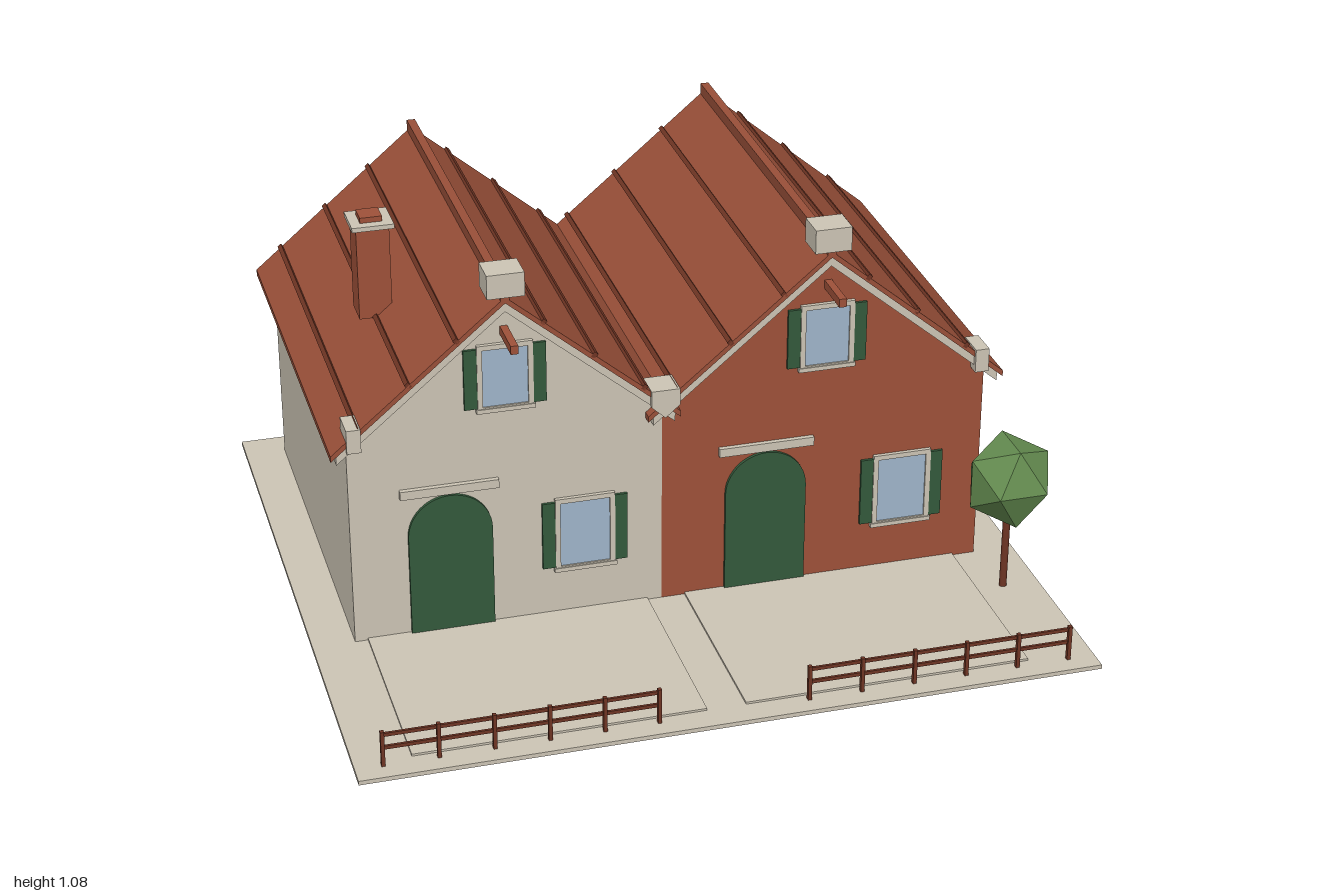
import * as THREE from 'three';

const mat = (name, color, side = THREE.FrontSide) => {
  const m = new THREE.MeshStandardMaterial({ color, side });
  m.name = name;
  return m;
};

export function createModel() {
  const model = new THREE.Group();
  model.name = 'semiDetachedHouses';

  const brick = mat('brick', 0x9f523a);
  const tile = mat('roofTile', 0x9a5039);
  const stone = mat('paleStone', 0xcec6b6);
  const wood = mat('darkWood', 0x6f3524);
  const green = mat('paintedGreen', 0x345a3c);
  const glass = mat('glass', 0xa0b6cb);
  const leaf = mat('leaf', 0x638a4f);
  leaf.flatShading = true;

  const FRONT = 0.277, BACK = -0.837, GROUND = 0.012;

  function add(name, geometry, material, parent = model) {
    const mesh = new THREE.Mesh(geometry, material);
    mesh.name = name;
    parent.add(mesh);
    return mesh;
  }
  // Box given by its limits on each axis
  function box(name, x0, x1, y0, y1, z0, z1, material, parent) {
    const g = new THREE.BoxGeometry(x1 - x0, y1 - y0, z1 - z0);
    g.translate((x0 + x1) / 2, (y0 + y1) / 2, (z0 + z1) / 2);
    return add(name, g, material, parent);
  }
  // Outline in x, y extruded from z0 to z1
  function prism(name, shape, z0, z1, material, parent) {
    const s = Array.isArray(shape) ? new THREE.Shape(shape.map(p => new THREE.Vector2(...p))) : shape;
    const g = new THREE.ExtrudeGeometry(s, { depth: z1 - z0, bevelEnabled: false, curveSegments: 12 });
    g.translate(0, 0, z0);
    return add(name, g, material, parent);
  }
  // Inverted V band following the two roof slopes
  function chevron(cx, half, top, slope, thick) {
    const eave = top - half * slope;
    return [[cx - half, eave - thick], [cx, top - thick], [cx + half, eave - thick],
      [cx + half, eave], [cx, top], [cx - half, eave]];
  }

  // Plot and paved front yards
  box('groundSlab', -1, 0.99, 0, GROUND, -0.92, 0.92, stone);
  box('leftYard', -0.85, -0.075, GROUND, 0.018, FRONT, 0.847, stone);
  box('rightYard', 0.03, 0.81, GROUND, 0.018, FRONT, 0.847, stone);

  // Framed window with a pair of shutters
  function windowUnit(name, cx, y0, y1, w, parent) {
    const g = new THREE.Group();
    g.name = name;
    parent.add(g);
    const h = w / 2, t = 0.014;
    const frame = new THREE.Shape([[-h, y0], [h, y0], [h, y1], [-h, y1]]
      .map(([x, y]) => new THREE.Vector2(cx + x, y)));
    frame.holes.push(new THREE.Path([[t - h, y0 + t], [t - h, y1 - t], [h - t, y1 - t], [h - t, y0 + t]]
      .map(([x, y]) => new THREE.Vector2(cx + x, y))));
    prism('windowFrame', frame, FRONT, FRONT + 0.011, stone, g);
    box('windowPane', cx - h + t, cx + h - t, y0 + t, y1 - t, FRONT, FRONT + 0.006, glass, g);
    box('windowSill', cx - h - 0.004, cx + h + 0.004, y0 - 0.002, y0 + 0.01, FRONT, FRONT + 0.014, stone, g);
    for (const s of [-1, 1]) {
      const a = cx + s * (h - 0.003), b = cx + s * (h + 0.035);
      box('shutter', Math.min(a, b), Math.max(a, b), y0 + 0.011, y1 - 0.01, FRONT, FRONT + 0.008, green, g);
    }
  }

  // One gabled house; battens are offsets from the ridge
  function house(o) {
    const g = new THREE.Group();
    g.name = o.name;
    model.add(g);
    const { cx, top, slope } = o;
    const apex = top - 0.02, eave = apex - o.wallHalf * slope;
    prism('walls', [[cx - o.wallHalf, GROUND], [cx + o.wallHalf, GROUND], [cx + o.wallHalf, eave],
      [cx, apex], [cx - o.wallHalf, eave]], BACK, FRONT, o.wall, g);

    // Roof, ridge cap and raised seams
    prism('roof', chevron(cx, o.roofHalf, top, slope, 0.017), -0.87, 0.305, tile, g);
    box('ridgeCap', cx - 0.012, cx + 0.012, top - 0.012, top + 0.022, -0.87, 0.305, tile, g);
    const angle = Math.atan(slope);
    for (const d of o.battens) {
      const b = add('roofSeam', new THREE.BoxGeometry(0.013, 0.016, 1.175), wood, g);
      b.position.set(cx + d, top - Math.abs(d) * slope, -0.2825);
      b.rotation.z = -Math.sign(d) * angle;
    }
    // Verge boards under the roof ends
    const verge = chevron(cx, o.roofHalf - 0.015, top - 0.017, slope, 0.026);
    prism('frontVerge', verge, FRONT, 0.3, stone, g);
    prism('backVerge', verge, -0.865, BACK, stone, g);

    // Apex block and hoisting beam
    box('apexBlock', cx - 0.05, cx + 0.05, top + 0.003, top + 0.07, 0.228, 0.315, stone, g);
    box('hoistBeam', cx - 0.01, cx + 0.01, top - 0.117, top - 0.093, FRONT, 0.4, brick, g);

    // Arched door with lintel
    const r = 0.114, spring = 0.31;
    const arch = new THREE.Shape();
    arch.moveTo(o.door - r, GROUND);
    arch.lineTo(o.door + r, GROUND);
    arch.lineTo(o.door + r, spring);
    arch.absarc(o.door, spring, r, 0, Math.PI, false);
    arch.closePath();
    prism('door', arch, FRONT, FRONT + 0.009, green, g);
    box('doorLintel', o.door - 0.133, o.door + 0.133, 0.43, 0.455, FRONT, FRONT + 0.014, stone, g);

    windowUnit('lowerWindow', o.window, 0.147, 0.367, 0.165, g);
    windowUnit('upperWindow', cx, 0.657, 0.85, 0.15, g);
  }
  house({ name: 'leftHouse', cx: -0.46, wallHalf: 0.425, roofHalf: 0.47, top: 0.99, slope: 0.84,
    wall: stone, door: -0.617, window: -0.25, battens: [-0.395, -0.26, -0.13, 0.1, 0.235, 0.37] });
  house({ name: 'rightHouse', cx: 0.42, wallHalf: 0.455, roofHalf: 0.5, top: 1.008, slope: 0.835,
    wall: brick, door: 0.256, window: 0.647, battens: [-0.42, -0.275, -0.13, 0.105, 0.245, 0.39] });

  // Kneeler stones at the eaves and valley
  box('leftKneeler', -0.888, -0.85, 0.6, 0.667, 0.228, 0.313, stone);
  box('rightKneeler', 0.836, 0.874, 0.6, 0.667, 0.228, 0.313, stone);
  prism('valleyKneeler', [[-0.035, 0.585], [0.005, 0.62], [0.005, 0.667], [-0.073, 0.667], [-0.073, 0.62]],
    0.228, 0.313, stone);

  // Chimney
  const cz = -0.158, cxm = -0.72;
  const block = (name, h, y0, y1, m) => box(name, cxm - h, cxm + h, y0, y1, cz - h, cz + h, m);
  block('chimneyStack', 0.045, 0.77, 1.032, brick);
  block('chimneyCap', 0.057, 1.03, 1.043, stone);
  block('chimneyPot', 0.03, 1.043, 1.058, brick);

  // Post and rail fences
  function fence(name, x0, x1) {
    const g = new THREE.Group();
    g.name = name;
    model.add(g);
    for (let i = 0; i < 6; i++) {
      const x = x0 + 0.005 + (x1 - x0 - 0.01) * i / 5;
      box('fencePost', x - 0.005, x + 0.005, GROUND, 0.113, 0.861, 0.873, wood, g);
    }
    for (const y of [0.063, 0.101]) box('fenceRail', x0, x1, y - 0.005, y + 0.005, 0.86, 0.867, wood, g);
  }
  fence('leftFence', -0.932, -0.203);
  fence('rightFence', 0.19, 0.92);

  // Tree
  const trunk = add('treeTrunk', new THREE.CylinderGeometry(0.011, 0.011, 0.27, 8), wood);
  trunk.position.set(0.888, 0.145, 0.467);
  const crown = add('treeCrown', new THREE.IcosahedronGeometry(0.128, 0).rotateY(Math.PI / 2), leaf);
  crown.scale.y = 1.05;
  crown.position.set(0.888, 0.345, 0.467);

  return model;
}
